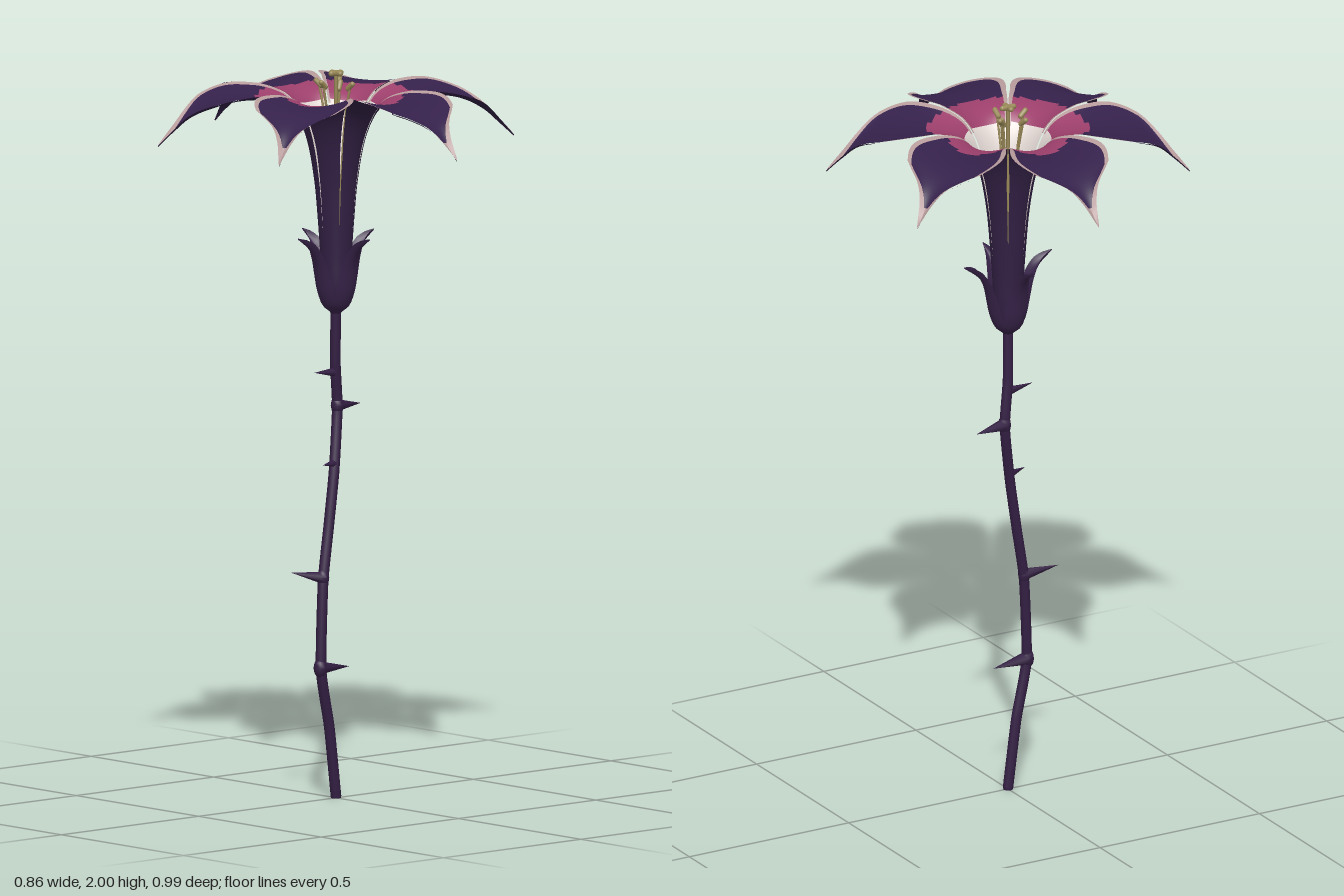
import * as THREE from 'three';

const mat = (name, color, side = THREE.FrontSide) => {
  const m = new THREE.MeshStandardMaterial({ color, side });
  m.name = name;
  return m;
};

// Linear interpolation through [key, value] pairs
function lookup(table, k) {
  if (k <= table[0][0]) return table[0][1];
  for (let i = 1; i < table.length; i++) {
    const [a, va] = table[i - 1], [b, vb] = table[i];
    if (k <= b) return va + (vb - va) * (k - a) / (b - a);
  }
  return table[table.length - 1][1];
}

// Leaf-like sheet wrapped round the y axis: profile gives (radius, height),
// width(r) half the arc length, lift(r) how far the edges cup upwards,
// rim(r) the edge band, zone(r, v, onEdge) the material index
function sheet({ profile, rows, cols, width, lift, rim, zone = () => 0, zones = 1, flip = false, dr = 0, dy = 0 }) {
  const curve = new THREE.SplineCurve(profile.map(([r, y]) => new THREE.Vector2(r, y)));
  const pos = [], radii = [], groups = Array.from({ length: zones }, () => []);
  for (let i = 0; i <= rows; i++) {
    const p = curve.getPointAt(i / rows), w = width(p.x);
    const inner = Math.max(0.02, 1 - rim(p.x) / w);
    radii.push(p.x);
    for (let j = 0; j <= cols; j++) {
      const v = j === 0 ? -1 : j === cols ? 1 : inner * (2 * (j - 1) / (cols - 2) - 1);
      const a = v * w / p.x;
      pos.push((p.x + dr) * Math.sin(a), p.y + dy + lift(p.x) * v * v, (p.x + dr) * Math.cos(a));
    }
  }
  for (let i = 0; i < rows; i++) {
    for (let j = 0; j < cols; j++) {
      const a = i * (cols + 1) + j, b = a + cols + 1;
      const r = (radii[i] + radii[i + 1]) / 2, v = 2 * (j + 0.5) / cols - 1;
      const g = groups[zone(r, v, j === 0 || j === cols - 1)];
      if (flip) g.push(a, a + 1, b, a + 1, b + 1, b);
      else g.push(a, b, a + 1, a + 1, b, b + 1);
    }
  }
  const geo = new THREE.BufferGeometry();
  geo.setAttribute('position', new THREE.Float32BufferAttribute(pos, 3));
  geo.setIndex(groups.flat());
  let start = 0;
  groups.forEach((g, k) => { geo.addGroup(start, g.length, k); start += g.length; });
  geo.computeVertexNormals();
  return geo;
}

export function createModel() {
  const model = new THREE.Group();
  model.name = 'flower';
  const purple = mat('petal purple', 0x35214b);
  const outer = mat('outer purple', 0x322044);
  const sepalMat = mat('sepal purple', 0x38234a, THREE.DoubleSide);
  const stemMat = mat('stem purple', 0x341f44);
  const magenta = mat('magenta', 0x9c3f6b);
  const cream = mat('throat white', 0xe0d6d2);
  const rimMat = mat('rim pink', 0xb89c9c);
  const gold = mat('stamen gold', 0x9a8a58);

  const add = (parent, name, geo, material) => {
    const m = new THREE.Mesh(geo, material);
    m.name = name;
    parent.add(m);
    return m;
  };
  const V = (x, y, z) => new THREE.Vector3(x, y, z);

  // Petals: six trumpet segments, cupped along the middle, drooping at the tips
  const gap = [[0.045, 0], [0.07, 0.0035], [0.1, 0.003], [0.13, 0.0015], [0.19, 0.002], [0.22, 0.005]];
  const blade = [[0.22, 0.11], [0.262, 0.131], [0.29, 0.14], [0.315, 0.142], [0.34, 0.134], [0.368, 0.115],
    [0.387, 0.085], [0.405, 0.055], [0.425, 0.034], [0.45, 0.018], [0.492, 0.0015]];
  const cup = [[0.09, 0], [0.15, 0.015], [0.22, 0.024], [0.3, 0.026], [0.38, 0.026], [0.43, 0.016], [0.492, 0.004]];
  const band = [[0.1, 0.005], [0.2, 0.011], [0.26, 0.015]];
  const petal = {
    profile: [[0.018, 1.345], [0.035, 1.4], [0.041, 1.5], [0.048, 1.6], [0.057, 1.7], [0.074, 1.8], [0.098, 1.868],
      [0.13, 1.908], [0.18, 1.927], [0.25, 1.932], [0.31, 1.928], [0.36, 1.912], [0.41, 1.883], [0.45, 1.847], [0.492, 1.808]],
    rows: 80, cols: 24,
    rim: r => lookup(band, r),
    lift: r => lookup(cup, r),
    width: r => r < 0.22 ? r * Math.PI / 6 - lookup(gap, r) : lookup(blade, r),
  };
  const topGeo = sheet({
    ...petal, zones: 4,
    zone: (r, v, edge) => {
      if (r > 0.447 || (edge && r > 0.11)) return 3;
      if (r < 0.116) return 2;
      return r < 0.195 + 0.034 * (1 - Math.abs(v)) ? 1 : 0;
    },
  });
  const underGeo = sheet({ ...petal, flip: true, dr: 0.002, dy: -0.004 });
  for (let i = 0; i < 6; i++) {
    const g = new THREE.Group();
    g.name = 'petal';
    g.rotation.y = i * Math.PI / 3;
    add(g, 'petalFace', topGeo, [purple, magenta, cream, rimMat]);
    add(g, 'petalBack', underGeo, outer);
    model.add(g);
  }

  // Sepals: four pointed, folded leaves cupping the flower base
  const leaf = [[0.01, 0.008], [0.036, 0.03], [0.05, 0.039], [0.057, 0.037], [0.068, 0.029], [0.09, 0.018], [0.115, 0.009], [0.138, 0.001]];
  const fold = [[0.04, 0], [0.057, 0.01], [0.09, 0.02], [0.115, 0.014], [0.138, 0.003]];
  const sepalGeo = sheet({
    profile: [[0.01, 1.333], [0.036, 1.353], [0.052, 1.39], [0.06, 1.43], [0.071, 1.475], [0.093, 1.513], [0.138, 1.548]],
    rows: 18, cols: 8,
    rim: () => 0.002,
    lift: r => lookup(fold, r),
    width: r => lookup(leaf, r),
  });
  for (let i = 0; i < 4; i++) add(model, 'sepal', sepalGeo, sepalMat).rotation.y = i * Math.PI / 2;

  // Crooked stem with a rounded joint under the flower
  const path = new THREE.CatmullRomCurve3([
    V(0, 0.004, 0), V(-0.03, 0.2, 0.006), V(-0.066, 0.36, 0.013), V(-0.056, 0.6, 0.01), V(-0.03, 0.75, 0.004),
    V(-0.005, 0.9, -0.002), V(0.02, 1.07, -0.017), V(0.006, 1.2, -0.01), V(0, 1.35, 0)], false, 'catmullrom', 0.25);
  add(model, 'stem', new THREE.TubeGeometry(path, 56, 0.0145, 8), stemMat);
  const cap = add(model, 'stemEnd', new THREE.CylinderGeometry(0.0145, 0.0135, 0.008, 8), stemMat);
  cap.position.y = 0.004;
  const base = add(model, 'flowerBase', new THREE.SphereGeometry(0.022, 12, 8), stemMat);
  base.position.y = 1.35;

  // Thorns: base point, tip and base radius, each with a small swelling on the stem
  const thorns = [
    [V(0.008, 1.168, -0.012), V(-0.075, 1.175, -0.005), 0.013],
    [V(0.02, 1.075, -0.017), V(0.118, 1.07, -0.032), 0.018],
    [V(0, 0.92, -0.003), V(-0.064, 0.922, 0.018), 0.012],
    [V(-0.056, 0.612, 0.01), V(-0.148, 0.632, -0.018), 0.017],
    [V(-0.068, 0.365, 0.013), V(0.044, 0.358, 0.005), 0.019],
  ];
  for (const [a, b, r] of thorns) {
    const dir = b.clone().sub(a);
    const t = add(model, 'thorn', new THREE.ConeGeometry(r, dir.length(), 7), stemMat);
    t.position.copy(a).lerp(b, 0.5);
    t.quaternion.setFromUnitVectors(V(0, 1, 0), dir.normalize());
    const knot = add(model, 'stemKnot', new THREE.SphereGeometry(r, 8, 6), stemMat);
    knot.position.copy(a);
    knot.scale.y = 1.5;
  }

  // Stamens: thin curved filaments with capsule anthers
  const anthers = [[-0.048, 1.965, 0.002], [-0.02, 1.962, -0.048], [0.04, 1.967, -0.032], [0.007, 1.96, 0.05], [0.022, 1.955, -0.01]];
  for (const [x, y, z] of anthers) {
    const g = new THREE.Group();
    g.name = 'stamen';
    const line = new THREE.CatmullRomCurve3([V(0, 1.38, 0), V(x * 0.3, 1.65, z * 0.3), V(x * 0.65, 1.87, z * 0.65), V(x, y, z)]);
    add(g, 'filament', new THREE.TubeGeometry(line, 14, 0.0035, 6), gold);
    const head = add(g, 'anther', new THREE.CapsuleGeometry(0.0075, 0.02, 4, 8), gold);
    head.position.set(x, y, z);
    head.quaternion.setFromUnitVectors(V(0, 1, 0), V(x, 0.045, z).normalize());
    model.add(g);
  }

  // Pistil with a cross-shaped head
  const style = add(model, 'pistil', new THREE.CylinderGeometry(0.005, 0.005, 0.61, 8), gold);
  style.position.y = 1.685;
  for (const turn of [0, Math.PI / 2]) {
    const bar = add(model, 'pistilHead', new THREE.CapsuleGeometry(0.008, 0.034, 4, 8), gold);
    bar.rotation.set(0, turn, Math.PI / 2);
    bar.position.y = 1.992;
  }
  return model;
}
